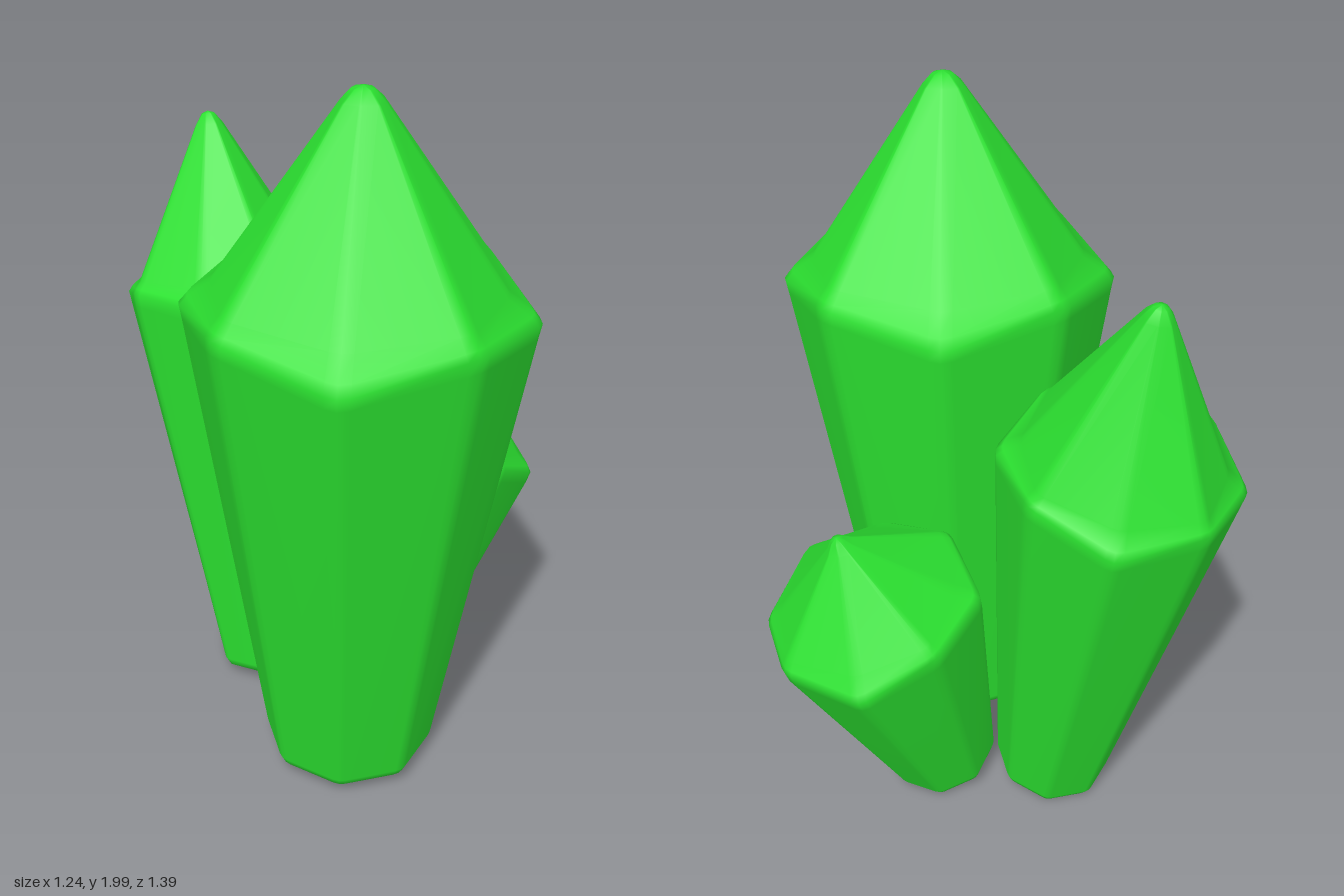
import * as THREE from 'three';

const material = new THREE.MeshStandardMaterial({ color: 0x2be030 });

// Octagonal loop with rounded corners; even corners use (rc, hc), odd corners use (rd, hd)
function loop(rc, hc, rd, hd, bevel = 0.1) {
  const corners = [];
  for (let k = 0; k < 8; k++) {
    const a = (k * Math.PI) / 4;
    const [r, h] = k % 2 ? [rd, hd] : [rc, hc];
    corners.push(new THREE.Vector3(Math.cos(a) * r, h, Math.sin(a) * r));
  }
  return corners.flatMap((c, k) => {
    const p = c.clone().lerp(corners[(k + 7) % 8], bevel);
    const n = c.clone().lerp(corners[(k + 1) % 8], bevel);
    return new THREE.QuadraticBezierCurve3(p, c, n).getPoints(2);
  });
}

// b: base radius, R: shoulder radius, H: shoulder height, T: full height
function crystalGeometry(b, R, H, T) {
  const even = (r, h) => loop(r, h, r, h);
  const loops = [
    // rounded foot
    even(0.02, 0),
    even(b - 0.035, 0),
    even(b - 0.012, 0.006),
    even(b, 0.03),
    // shoulder: corners under the four ridges sit higher
    loop(R * 0.985, H - 0.035, R * 0.965, H + R * 0.13 - 0.04),
    loop(R, H, R * 0.965, H + R * 0.125),
    loop(R * 0.95, H + R * 0.06, R * 0.94, H + R * 0.16),
    loop(R * 0.81, H + R * 0.16, R * 0.89, H + R * 0.22),
    // four-ridged point with a blunt tip
    loop(R * 0.115, T - 0.035, R * 0.135, T - 0.035),
    even(R * 0.06, T - 0.007),
  ];
  const n = loops[0].length;
  const points = loops.flat();
  const bottom = points.push(new THREE.Vector3(0, 0, 0)) - 1;
  const tip = points.push(new THREE.Vector3(0, T, 0)) - 1;
  const index = [];
  for (let j = 0; j < n; j++) {
    const k = (j + 1) % n;
    for (let i = 0; i < loops.length - 1; i++) {
      const a = i * n + j, d = i * n + k;
      index.push(a, a + n, d, d, a + n, d + n);
    }
    const last = (loops.length - 1) * n;
    index.push(bottom, j, k, tip, last + k, last + j);
  }
  const geometry = new THREE.BufferGeometry().setFromPoints(points);
  geometry.setIndex(index);
  geometry.computeVertexNormals();
  return geometry;
}

// Leaning crystal from the centre of its foot to its tip
function crystal(name, foot, tip, b, R, H, turn) {
  const base = new THREE.Vector3(...foot);
  const axis = new THREE.Vector3(...tip).sub(base);
  const geometry = crystalGeometry(b, R, H, axis.length());
  geometry.rotateY(turn);
  const mesh = new THREE.Mesh(geometry, material);
  mesh.name = name;
  mesh.position.copy(base);
  mesh.quaternion.setFromUnitVectors(new THREE.Vector3(0, 1, 0), axis.normalize());
  return mesh;
}

export function createModel() {
  const group = new THREE.Group();
  group.name = 'crystalCluster';
  group.add(
    crystal('tallCrystal', [0.14, 0.055, 0.175], [0.165, 2.0, 0.275], 0.245, 0.462, 1.37, 0.02),
    crystal('middleCrystal', [-0.155, 0.035, -0.21], [-0.37, 1.73, -0.455], 0.17, 0.32, 1.21, -0.07),
    crystal('shortCrystal', [0.165, 0.05, -0.21], [0.405, 1.04, -0.44], 0.16, 0.303, 0.735, -0.05),
  );
  return group;
}
